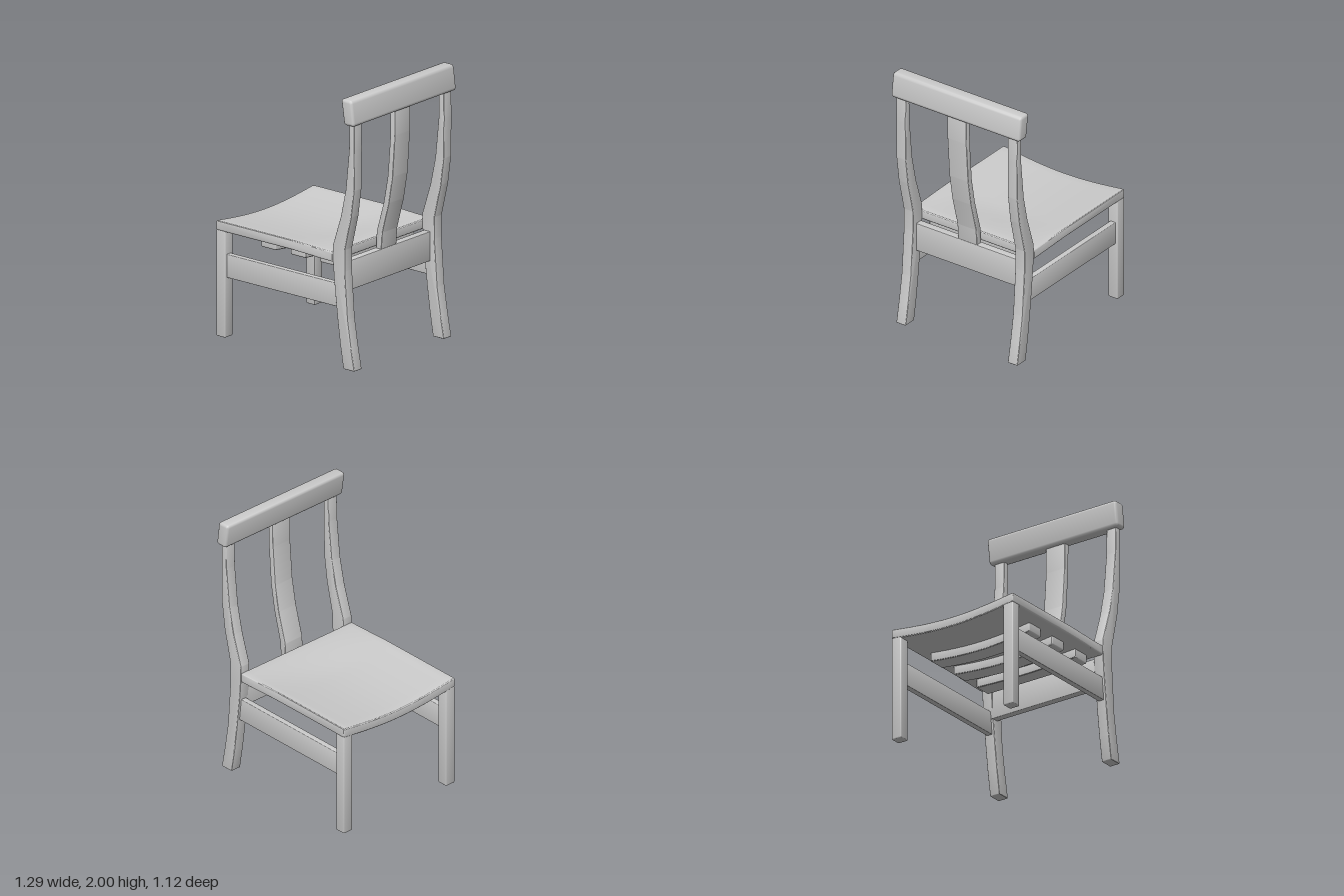
import * as THREE from 'three';
import { toCreasedNormals } from 'three/addons/utils/BufferGeometryUtils.js';
import { RoundedBoxGeometry } from 'three/addons/geometries/RoundedBoxGeometry.js';

const grey = new THREE.MeshStandardMaterial({ color: 0xcccccc });

// Side profile (x, y corners) with rounded corners, optionally split into short edges
function outline(corners, radius, maxEdge = Infinity) {
  const p = corners.map(([x, y]) => new THREE.Vector2(x, y));
  const pts = [];
  p.forEach((c, i) => {
    const prev = p[(i + p.length - 1) % p.length], next = p[(i + 1) % p.length];
    const a = c.clone().add(prev.clone().sub(c).setLength(radius));
    const b = c.clone().add(next.clone().sub(c).setLength(radius));
    pts.push(...new THREE.QuadraticBezierCurve(a, c, b).getPoints(3));
  });
  const out = [];
  pts.forEach((a, i) => {
    const b = pts[(i + 1) % pts.length];
    const n = Math.max(1, Math.ceil(a.distanceTo(b) / maxEdge));
    for (let k = 0; k < n; k++) out.push(a.clone().lerp(b, k / n));
  });
  return new THREE.Shape(out);
}

// Extrude a side profile across z, centred, with bevelled ends
function across(shape, width, bevel, steps = 1) {
  const geo = new THREE.ExtrudeGeometry(shape, {
    depth: width - 2 * bevel, steps, bevelEnabled: true, bevelSize: bevel,
    bevelThickness: bevel, bevelOffset: -bevel, bevelSegments: 3,
  });
  return geo.translate(0, 0, -(width - 2 * bevel) / 2);
}

// Hollow the seat along its middle, fading out toward the backrest
function dish(geo) {
  const pos = geo.attributes.position;
  for (let i = 0; i < pos.count; i++) {
    const x = pos.getX(i), z = pos.getZ(i);
    const fade = THREE.MathUtils.smoothstep(x, 0.0, 0.42);
    const sag = 0.045 * Math.cos(Math.PI * z / 1.06) * (1 - fade);
    pos.setY(i, pos.getY(i) - sag - 0.012 * fade);
  }
  return geo;
}

export function createModel() {
  const chair = new THREE.Group();
  chair.name = 'chair';

  const add = (name, geo, z = 0, crease = 0.5) => {
    const mesh = new THREE.Mesh(toCreasedNormals(geo, crease), grey);
    mesh.name = name;
    mesh.position.z = z;
    chair.add(mesh);
  };
  const box = (x0, x1, y0, y1, depth, r) =>
    new RoundedBoxGeometry(x1 - x0, y1 - y0, depth, 2, r)
      .translate((x0 + x1) / 2, (y0 + y1) / 2, 0);

  // Dished seat
  const rect = (x0, x1, y0, y1) => [[x0, y0], [x1, y0], [x1, y1], [x0, y1]];
  add('seat', dish(across(outline(rect(-0.65, 0.425, 0.78, 0.853), 0.016, 0.06), 1.055, 0.012, 24)));

  // Cross slats beneath the seat
  for (const x of [-0.25, 0.022, 0.293])
    add('seatSlat', dish(across(outline(rect(x - 0.07, x + 0.07, 0.715, 0.79), 0.012, 0.05), 0.86, 0.01, 16)));

  // Curved back post, front edge going up then rear edge going down
  const post = [
    [0.52, 0], [0.49, 0.18], [0.466, 0.36], [0.434, 0.65], [0.422, 0.8], [0.423, 0.89],
    [0.497, 1.12], [0.541, 1.32], [0.572, 1.62], [0.577, 1.85],
    [0.62, 1.85], [0.624, 1.63], [0.62, 1.33], [0.593, 1.13], [0.534, 0.88],
    [0.533, 0.72], [0.558, 0.37], [0.588, 0.18], [0.622, 0],
  ];
  for (const side of [1, -1]) {
    add('backLeg', across(outline(post, 0.008), 0.083, 0.006), side * 0.485);
    add('frontLeg', box(-0.647, -0.565, 0, 0.785, 0.083, 0.008), side * 0.485);
    add('sideRail', box(-0.58, 0.46, 0.44, 0.612, 0.045, 0.005), side * 0.485);
  }

  // Rail joining the back legs
  add('backRail', box(0.437, 0.495, 0.55, 0.767, 0.92, 0.005));

  // Curved centre splat
  const splat = [
    [0.443, 0.755], [0.45, 0.89], [0.515, 1.12], [0.552, 1.32], [0.575, 1.62], [0.577, 1.85],
    [0.62, 1.85], [0.619, 1.63], [0.597, 1.32], [0.563, 1.12], [0.502, 0.89], [0.492, 0.755],
  ];
  add('backSplat', across(outline(splat, 0.006), 0.165, 0.005));

  // Tilted top rail
  add('crestRail', across(outline([[0.55, 1.81], [0.645, 1.813], [0.621, 2], [0.523, 2]], 0.024), 1.118, 0.02), 0, 0.7);

  return chair;
}
